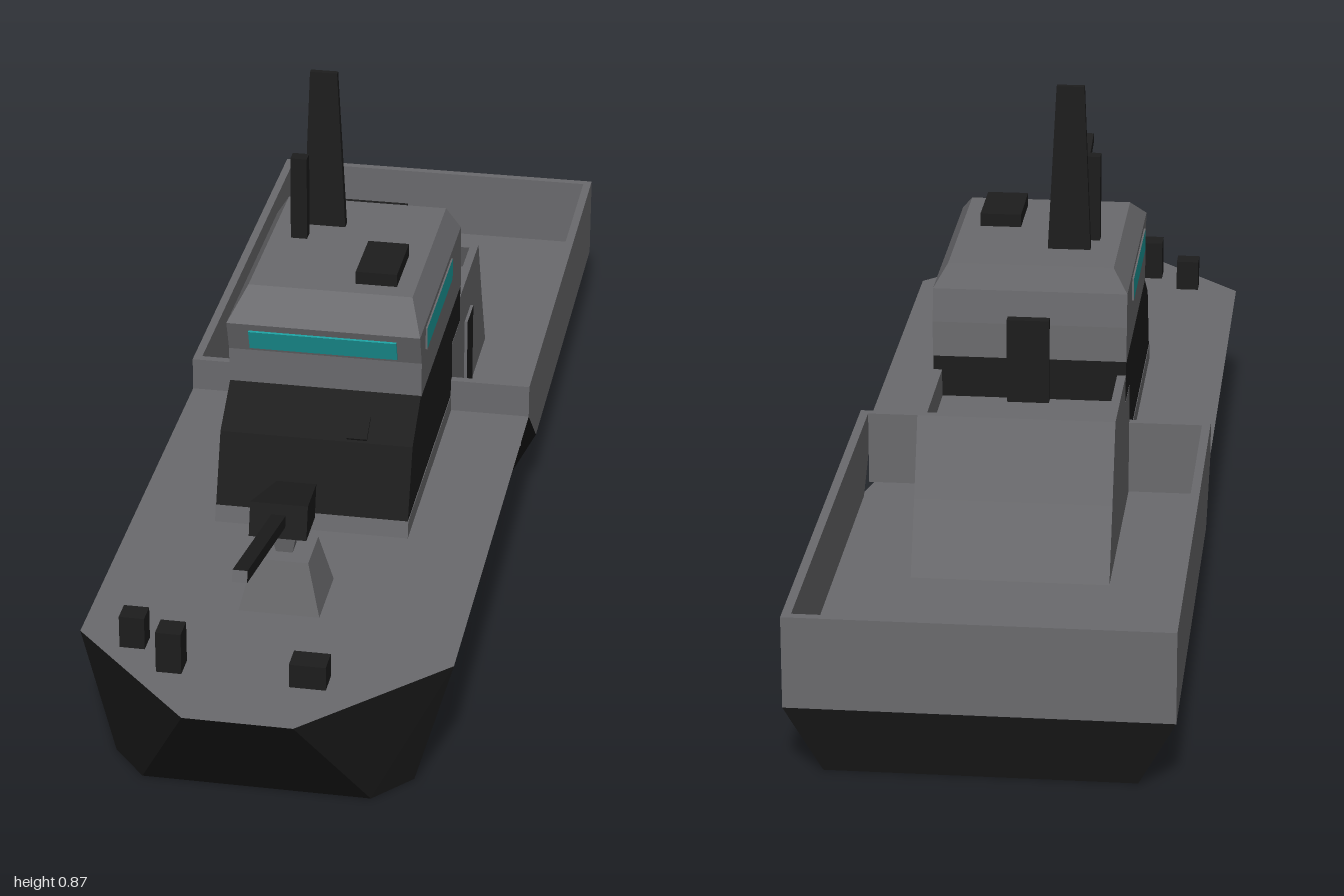
import * as THREE from 'three';

const mat = (name, color) => Object.assign(new THREE.MeshStandardMaterial({ color }), { name });

// Flat-faced geometry from polygons (counter-clockwise seen from outside)
function polygons(faces) {
  const p = [];
  for (const f of faces)
    for (let i = 1; i < f.length - 1; i++) p.push(...f[0], ...f[i], ...f[i + 1]);
  const g = new THREE.BufferGeometry();
  g.setAttribute('position', new THREE.Float32BufferAttribute(p, 3));
  g.computeVertexNormals();
  return g;
}

// Stack of rectangles [y, x0, x1, z0, z1], from bottom to top
function stack(levels) {
  const rings = levels.map(([y, x0, x1, z0, z1]) => [[x0, y, z1], [x1, y, z1], [x1, y, z0], [x0, y, z0]]);
  const faces = [[...rings[0]].reverse(), rings[rings.length - 1]];
  for (let k = 0; k < rings.length - 1; k++)
    for (let i = 0; i < 4; i++) {
      const j = (i + 1) % 4;
      faces.push([rings[k][i], rings[k][j], rings[k + 1][j], rings[k + 1][i]]);
    }
  return polygons(faces);
}
const block = (x0, x1, y0, y1, z0, z1) => stack([[y0, x0, x1, z0, z1], [y1, x0, x1, z0, z1]]);

// Side profile of [z, y] points, extruded from x0 to x1
function prism(profile, x0, x1) {
  const shape = new THREE.Shape(profile.map(([z, y]) => new THREE.Vector2(z, y)));
  const g = new THREE.ExtrudeGeometry(shape, { depth: x1 - x0, bevelEnabled: false });
  return g.rotateY(-Math.PI / 2).translate(x1, 0, 0);
}

export function createModel() {
  const model = new THREE.Group();
  model.name = 'patrolBoat';
  const grey = mat('deckGrey', 0x6a6a6d);
  const hullBlack = mat('hullBlack', 0x171717);
  const keelGrey = mat('keelGrey', 0x4a4a4a);
  const dark = mat('fittingBlack', 0x1d1d1d);
  const glass = mat('windowTeal', 0x1c9c9d);
  const add = (name, geometry, material) => {
    const m = new THREE.Mesh(geometry, material);
    m.name = name;
    model.add(m);
    return m;
  };
  // Box materials: coloured x faces with grey edges
  const sidePlate = (m) => [m, m, grey, grey, grey, grey];

  // Hull: straight flared sides forward, a knuckle further aft
  const D1 = [0.31, 0.21, -0.1], D2 = [0.31, 0.21, 0.77], D3 = [0.09, 0.21, 1];
  const B0 = [0.25, 0, -0.98], B1 = [0.25, 0, -0.21], B2 = [0.25, 0, 0.79], B3 = [0.19, 0, 0.86];
  const K0 = [0.31, 0.115, -1], K1 = [0.31, 0.115, -0.21];
  const flip = ([x, y, z]) => [-x, y, z];
  const sides = [[B2, B1, D1, D2], [B1, K1, D1], [B1, B0, K0, K1], [B3, B2, D2, D3]];
  add('hull', polygons([
    ...sides,
    ...sides.map((f) => f.map(flip).reverse()),
    [flip(B3), B3, D3, flip(D3)],
    [B0, flip(B0), flip(K0), K0],
  ]), hullBlack);
  const outline = (pts) => [...pts, ...[...pts].reverse().map(flip)];
  add('hullBottom', polygons([outline([B0, B1, B2, B3])]), keelGrey);

  // Foredeck and sunken aft deck
  add('foredeck', polygons([outline([D1, D2, D3]).reverse()]), grey);
  add('aftDeck', polygons([
    outline([[0.305, 0.14, -0.99], [0.305, 0.14, -0.2], [0.285, 0.14, -0.11]]).reverse(),
  ]), grey);

  // Bulwarks round the aft deck
  const wall = [[-1, 0.115], [-0.21, 0.115], [-0.1, 0.21], [-0.1, 0.27], [-1, 0.27]];
  add('bulwarkLeft', prism(wall, 0.295, 0.31), grey);
  add('bulwarkRight', prism(wall, -0.31, -0.295), grey);
  add('transom', block(-0.295, 0.295, 0.115, 0.27, -1, -0.985), grey);
  const cross = [[-0.1, 0.205], [-0.1, 0.27], [-0.115, 0.27], [-0.115, 0.14]];
  add('frontBulwarkLeft', prism(cross, 0.167, 0.295), grey);
  add('frontBulwarkRight', prism(cross, -0.295, -0.167), grey);

  // Cabin
  add('cabinBase', prism([[0.375, 0.21], [0.37, 0.24], [-0.11, 0.24], [-0.11, 0.21]], -0.168, 0.168), grey);
  add('lowerCabin', prism(
    [[0.37, 0.238], [0.325, 0.36], [0.24, 0.415], [-0.2, 0.415], [-0.2, 0.342], [-0.11, 0.342], [-0.11, 0.238]],
    -0.167, 0.167), dark);
  add('wheelhouse', stack([
    [0.414, -0.168, 0.168, -0.2, 0.24],
    [0.477, -0.168, 0.168, -0.198, 0.24],
    [0.535, -0.168, 0.168, -0.19, 0.26],
    [0.577, -0.143, 0.143, -0.175, 0.19],
  ]), grey);
  const front = add('frontWindow', new THREE.BoxGeometry(0.257, 0.039, 0.006), glass);
  front.position.set(-0.002, 0.503, 0.25);
  front.rotation.x = Math.atan(0.02 / 0.058);
  for (const s of [1, -1]) {
    const w = add(s > 0 ? 'leftWindow' : 'rightWindow', new THREE.BoxGeometry(0.006, 0.04, 0.28), sidePlate(glass));
    w.position.set(s * 0.168, 0.505, 0.06);
  }
  const hatch = add('frontHatch', new THREE.BoxGeometry(0.035, 0.006, 0.045), dark);
  hatch.position.set(0.07, 0.376, 0.303);
  hatch.rotation.x = Math.atan(0.055 / 0.085);

  // Aft deckhouse with a walled roof behind the cabin
  add('aftHouse', prism(
    [[-0.11, 0.14], [-0.53, 0.14], [-0.475, 0.26], [-0.442, 0.34], [-0.11, 0.34]], -0.167, 0.167), grey);
  const parapet = [[-0.2, 0.34], [-0.442, 0.34], [-0.422, 0.39], [-0.2, 0.39]];
  add('parapetLeft', prism(parapet, 0.152, 0.167), grey);
  add('parapetRight', prism(parapet, -0.167, -0.152), grey);
  add('parapetBack', prism([[-0.442, 0.34], [-0.422, 0.39], [-0.407, 0.39], [-0.427, 0.34]], -0.152, 0.152), grey);
  add('rearDoor', block(-0.035, 0.038, 0.34, 0.49, -0.215, -0.19), dark);
  const sideDoor = add('sideDoor', new THREE.BoxGeometry(0.009, 0.17, 0.07), sidePlate(dark));
  sideDoor.position.set(0.168, 0.225, -0.295);

  // Roof fittings
  add('mast', stack([[0.57, -0.095, -0.02, -0.083, -0.065], [0.87, -0.083, -0.035, -0.078, -0.067]]), dark);
  add('shortMast', block(-0.107, -0.078, 0.57, 0.73, -0.03, -0.006), dark);
  add('roofBox', block(0.038, 0.11, 0.57, 0.6, 0.03, 0.155), dark);

  // Deck gun
  add('gunBase', stack([[0.21, -0.068, 0.068, 0.53, 0.66], [0.3, -0.046, 0.046, 0.55, 0.64]]), grey);
  add('gunNeck', stack([[0.3, -0.014, 0.014, 0.58, 0.61], [0.34, -0.022, 0.022, 0.572, 0.618]]), grey);
  const bodyGeo = new THREE.BoxGeometry(0.096, 0.058, 0.155).toNonIndexed();
  const p = bodyGeo.attributes.position;
  for (let i = 0; i < p.count; i++) // narrower at the back
    if (p.getZ(i) < 0) p.setX(i, p.getX(i) * 0.7);
  bodyGeo.computeVertexNormals();
  const body = add('gunBody', bodyGeo, dark);
  body.position.set(0, 0.364, 0.583);
  body.rotation.x = -0.27;
  const barrel = add('gunBarrel', new THREE.BoxGeometry(0.024, 0.02, 0.34), [dark, dark, dark, dark, grey, dark]);
  barrel.position.set(0, 0.418, 0.798);
  barrel.rotation.x = -0.23;

  // Bollards and stern locker
  add('bollardA', block(-0.235, -0.193, 0.21, 0.267, 0.77, 0.808), dark);
  add('bollardB', block(-0.16, -0.118, 0.21, 0.283, 0.83, 0.872), dark);
  add('bollardC', block(0.06, 0.12, 0.21, 0.252, 0.836, 0.88), dark);
  add('sternLocker', block(-0.24, -0.057, 0.14, 0.205, -0.97, -0.867), dark);
  return model;
}
